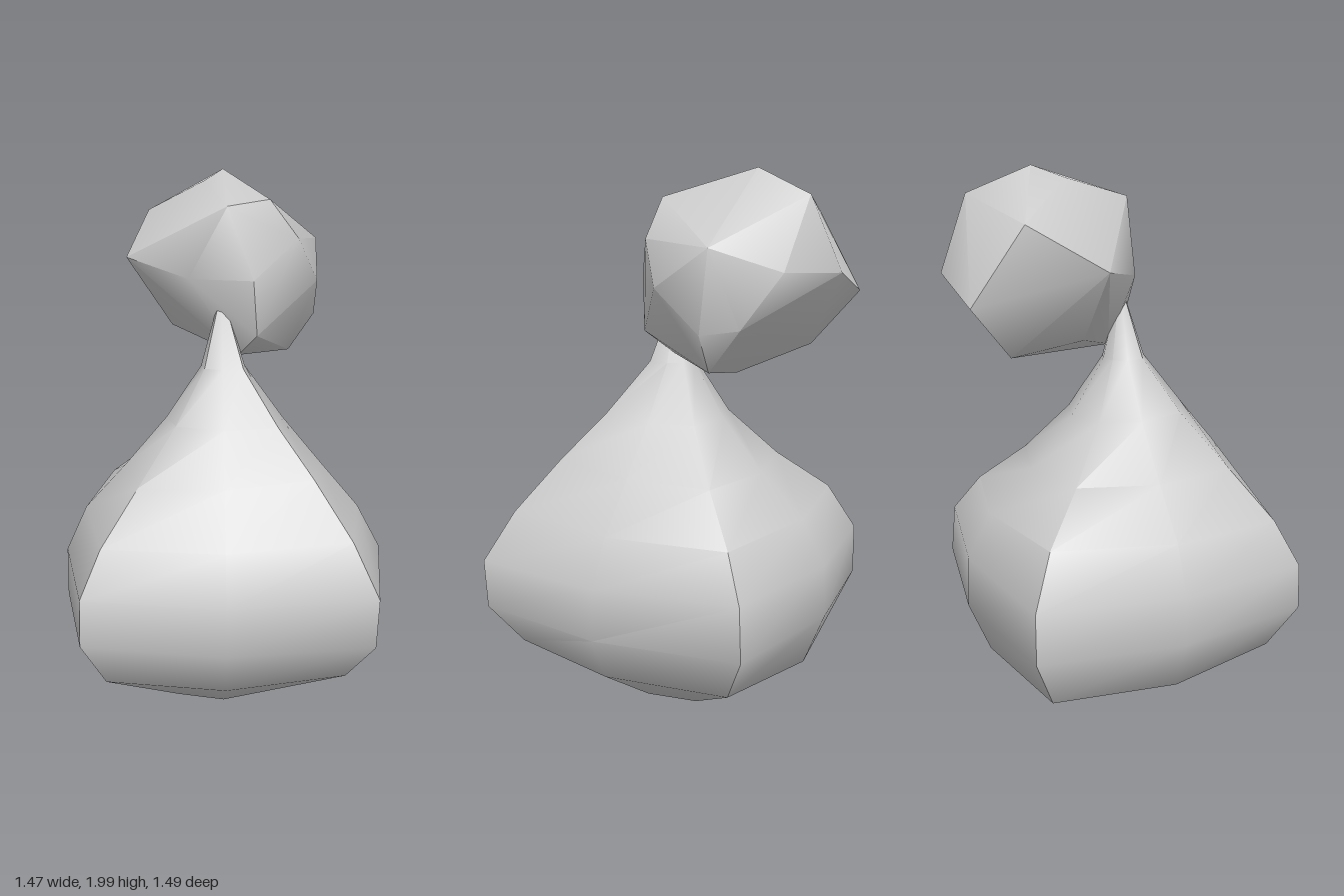
import * as THREE from 'three';
import { toCreasedNormals } from 'three/addons/utils/BufferGeometryUtils.js';
import { ConvexGeometry } from 'three/addons/geometries/ConvexGeometry.js';

const material = new THREE.MeshStandardMaterial({ color: 0xcccccc });

// Corner profiles [radius, height] from base to tip, and the diagonal radius ratio per level
const right = [[0.24, 0.03], [0.62, 0.22], [0.755, 0.4], [0.735, 0.59], [0.61, 0.74], [0.4, 0.9], [0.21, 1.09], [0.07, 1.3]];
const left = [[0.24, 0.05], [0.6, 0.235], [0.715, 0.41], [0.71, 0.58], [0.61, 0.74], [0.43, 0.92], [0.24, 1.11], [0.09, 1.3]];
const front = [[0.25, 0.065], [0.61, 0.25], [0.74, 0.4], [0.75, 0.58], [0.63, 0.76], [0.45, 0.95], [0.28, 1.11], [0.11, 1.3]];
const back = [[0.23, 0.01], [0.62, 0.19], [0.74, 0.4], [0.74, 0.59], [0.62, 0.77], [0.4, 0.92], [0.2, 1.1], [0.07, 1.3]];
const diagonal = [0.95, 0.86, 0.82, 0.82, 0.84, 0.88, 0.94, 0.95];

function bodyGeometry() {
  const sides = [right, front, left, back];
  const axisX = -0.02;
  const positions = [];
  const index = [];
  const levels = right.length;
  for (let i = 0; i < levels; i++) {
    for (let k = 0; k < 8; k++) {
      const a = sides[k >> 1][i];
      const b = sides[((k + 1) >> 1) % 4][i];
      const r = (a[0] + b[0]) / 2 * (k % 2 ? diagonal[i] : 1);
      const t = k * Math.PI / 4;
      positions.push(axisX + r * Math.cos(t), (a[1] + b[1]) / 2, r * Math.sin(t));
    }
  }
  const bottom = levels * 8;
  const tip = bottom + 1;
  positions.push(axisX, 0.02, 0, axisX, 1.58, 0);
  for (let k = 0; k < 8; k++) {
    const n = (k + 1) % 8;
    index.push(bottom, k, n);
    for (let i = 0; i < levels - 1; i++) {
      const p = i * 8;
      const q = p + 8;
      index.push(p + k, q + k, p + n, q + k, q + n, p + n);
    }
    const last = (levels - 1) * 8;
    index.push(last + k, tip, last + n);
  }
  const g = new THREE.BufferGeometry();
  g.setAttribute('position', new THREE.Float32BufferAttribute(positions, 3));
  g.setIndex(index);
  return toCreasedNormals(g, 0.75);
}

function ballGeometry() {
  const corners = [
    // crown
    [0.22, 2.0, -0.22], [0.1, 1.96, -0.2], [0.41, 1.91, -0.34], [-0.03, 1.88, 0.04], [0.13, 1.9, 0.1],
    // back
    [0.1, 1.84, -0.51], [0.26, 1.57, -0.6], [0.46, 1.65, -0.44], [0.2, 1.375, -0.44],
    // sides
    [-0.14, 1.68, -0.38], [-0.11, 1.62, -0.08], [0, 1.42, -0.28], [0.54, 1.66, -0.2], [0.51, 1.47, -0.06], [0.47, 1.74, 0.04],
    // front
    [0.2, 1.76, 0.18], [0.31, 1.6, 0.18], [0, 1.62, 0.14], [0.02, 1.42, 0.14], [0.44, 1.45, 0.06],
    // underside
    [0.04, 1.335, 0.03], [0.36, 1.31, 0], [0.31, 1.3, -0.12],
  ].map((p) => new THREE.Vector3(...p));
  return toCreasedNormals(new ConvexGeometry(corners), 0.75);
}

export function createModel() {
  const group = new THREE.Group();
  for (const [name, geometry] of [['body', bodyGeometry()], ['ball', ballGeometry()]]) {
    const mesh = new THREE.Mesh(geometry, material);
    mesh.name = name;
    group.add(mesh);
  }
  return group;
}
